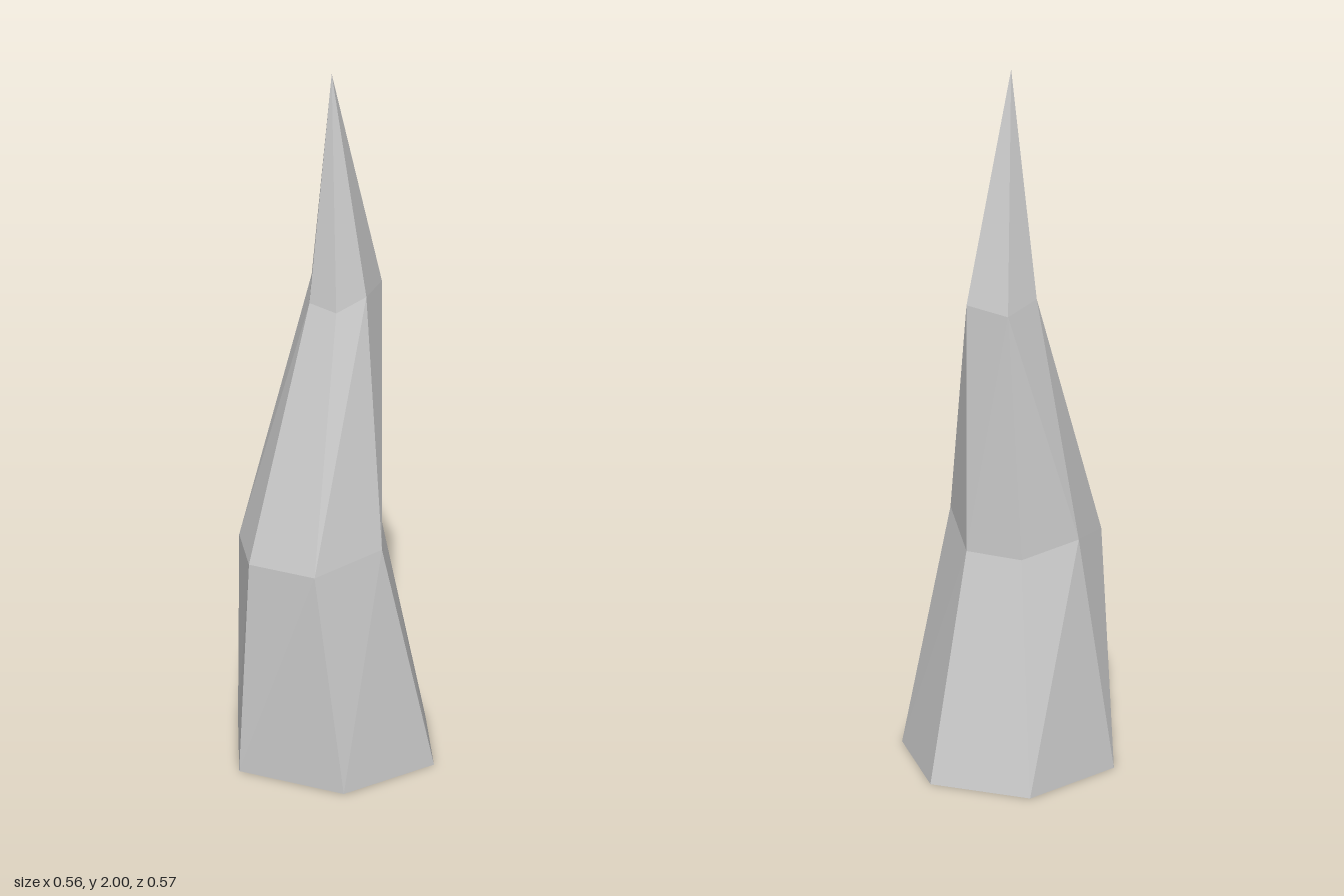
import * as THREE from 'three';

// Cross-sections as [x, y, z], seven corners each; a repeated corner merges two ridges.
const base = [
  [-0.195, 0, -0.222], [0.077, 0, -0.284], [0.281, 0, -0.095], [0.22, 0, 0.192],
  [-0.074, 0, 0.282], [-0.284, 0, 0.058], [-0.284, 0, 0.058],
];
const middle = [
  [-0.1, 0.63, -0.11], [0.055, 0.63, -0.137], [0.204, 0.66, 0.025], [0.145, 0.63, 0.225],
  [-0.05, 0.62, 0.27], [-0.175, 0.63, 0.172], [-0.195, 0.66, 0.025],
];
const neck = [
  [-0.067, 1.34, -0.125], [0.055, 1.35, -0.137], [0.102, 1.36, -0.025], [0.055, 1.32, 0.042],
  [-0.025, 1.33, 0.06], [-0.095, 1.36, -0.025], [-0.067, 1.34, -0.125],
];
const tip = Array(7).fill([0, 2, 0]);

export function createModel() {
  const positions = [];
  const same = (p, q) => p.every((v, k) => v === q[k]);
  // Adds a triangle, skipping those collapsed by a repeated corner
  const tri = (a, b, c) => {
    if (!same(a, b) && !same(b, c) && !same(c, a)) positions.push(...a, ...b, ...c);
  };

  // Faceted sides, joining each cross-section to the next
  const rings = [base, middle, neck, tip];
  for (let r = 0; r < rings.length - 1; r++) {
    const low = rings[r], high = rings[r + 1];
    for (let i = 0; i < 7; i++) {
      const j = (i + 1) % 7;
      tri(low[j], low[i], high[i]);
      tri(low[j], high[i], high[j]);
    }
  }
  // Flat underside
  for (let i = 1; i < 6; i++) tri(base[0], base[i], base[i + 1]);

  const geometry = new THREE.BufferGeometry();
  geometry.setAttribute('position', new THREE.Float32BufferAttribute(positions, 3));
  geometry.computeVertexNormals();

  const spike = new THREE.Mesh(
    geometry,
    new THREE.MeshStandardMaterial({ color: 0xcccccc, flatShading: true })
  );
  spike.name = 'spike';
  const group = new THREE.Group();
  group.name = 'bentSpike';
  group.add(spike);
  return group;
}
